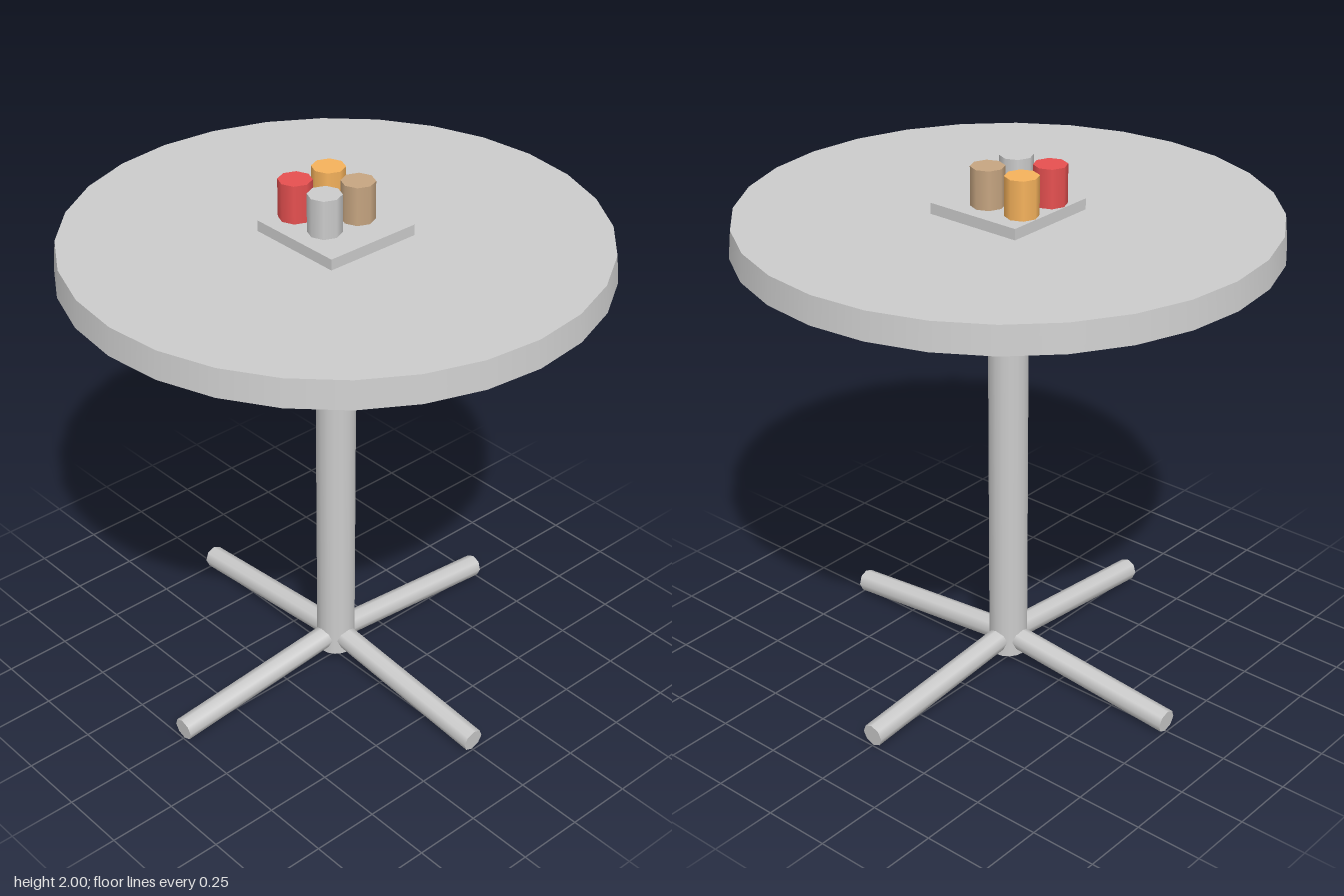
import * as THREE from 'three';

const GREY = 0xcccccc;

function addCylinder(parent, name, rTop, rBottom, y0, y1, sides, color = GREY, x = 0, z = 0) {
  const mesh = new THREE.Mesh(
    new THREE.CylinderGeometry(rTop, rBottom, y1 - y0, sides),
    new THREE.MeshStandardMaterial({ color })
  );
  mesh.name = name;
  mesh.position.set(x, (y0 + y1) / 2, z);
  parent.add(mesh);
  return mesh;
}

export function createModel() {
  const model = new THREE.Group();
  model.name = 'pedestalTable';

  // Round top with a slightly flared rim, on a central column
  addCylinder(model, 'tableTop', 0.945, 0.955, 1.72, 1.82, 28);
  addCylinder(model, 'column', 0.072, 0.072, 0.05, 1.73, 16);

  // Four feet sloping down from the column
  const slope = 0.092;
  const footLength = 0.751;
  for (let i = 0; i < 4; i++) {
    const arm = new THREE.Group();
    arm.name = 'foot' + (i + 1);
    arm.rotation.y = i * Math.PI / 2;
    const tilt = new THREE.Group();
    tilt.position.y = 0.116;
    tilt.rotation.z = -Math.PI / 2 - slope;
    addCylinder(tilt, 'footBar', 0.043, 0.043, 0, footLength, 8);
    arm.add(tilt);
    model.add(arm);
  }

  // Square tray
  const tray = new THREE.Mesh(
    new THREE.BoxGeometry(0.375, 0.04, 0.375),
    new THREE.MeshStandardMaterial({ color: GREY })
  );
  tray.name = 'tray';
  tray.position.set(-0.003, 1.84, -0.003);
  model.add(tray);

  // Condiment pots on the tray
  const pots = [
    ['redPot', 0xe65050, -0.127, 0.07],
    ['greyPot', GREY, 0.023, 0.07],
    ['orangePot', 0xf5b25c, -0.127, -0.08],
    ['brownPot', 0xc6a581, 0.023, -0.08],
  ];
  for (const [name, color, x, z] of pots) {
    addCylinder(model, name, 0.06, 0.06, 1.855, 2, 8, color, x, z);
  }

  return model;
}
